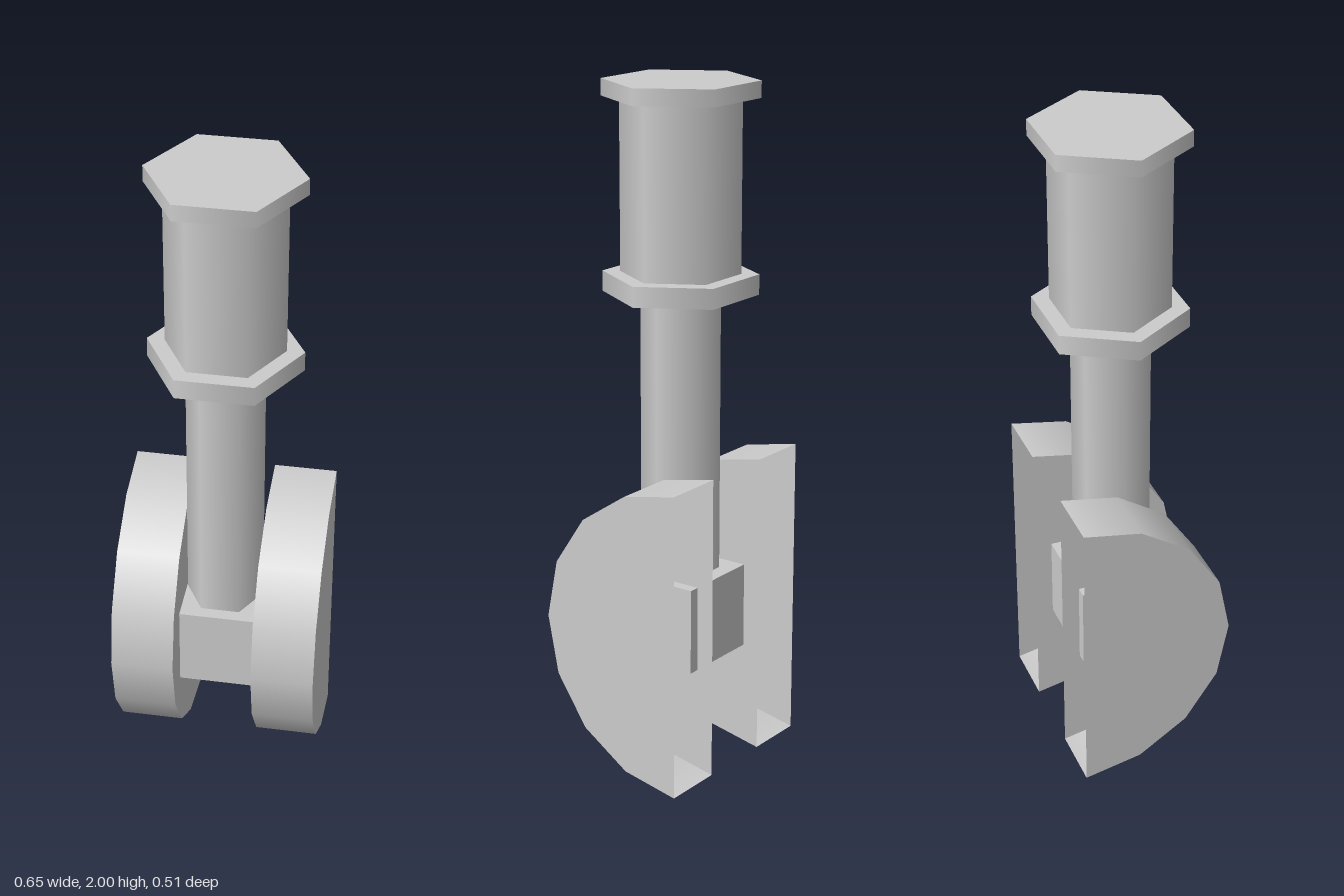
import * as THREE from 'three';

const material = new THREE.MeshStandardMaterial({ color: 0xcccccc });
const openMaterial = new THREE.MeshStandardMaterial({ color: 0xcccccc, side: THREE.DoubleSide });

// Upright six-sided post with a corner pointing along x
function hexPost(name, radius, bottom, top) {
  const geometry = new THREE.CylinderGeometry(radius, radius, top - bottom, 6, 1, false, Math.PI / 2);
  const mesh = new THREE.Mesh(geometry, material);
  mesh.name = name;
  mesh.position.y = (bottom + top) / 2;
  return mesh;
}

// Half-round wheel cover, open at the flat back
function wheelCover(name, side) {
  const radius = 0.455, width = 0.186;
  const geometry = new THREE.CylinderGeometry(radius, radius, width, 8, 1, false, -Math.PI / 2, Math.PI);
  geometry.rotateZ(Math.PI / 2);
  const mesh = new THREE.Mesh(geometry, openMaterial);
  mesh.name = name;
  mesh.position.set(side * 0.21, radius, -0.2);
  return mesh;
}

export function createModel() {
  const leg = new THREE.Group();
  leg.name = 'landingLeg';

  // Strut: piston, cylinder and its two flanges
  leg.add(
    hexPost('piston', 0.115, 0.45, 1.42),
    hexPost('lowerFlange', 0.223, 1.398, 1.457),
    hexPost('strutCylinder', 0.172, 1.43, 1.97),
    hexPost('upperFlange', 0.223, 1.952, 2)
  );

  // Axle block, its ends poking into the covers
  const axle = new THREE.Mesh(new THREE.BoxGeometry(0.3, 0.255, 0.285), material);
  axle.name = 'axleBlock';
  axle.position.set(0, 0.447, -0.005);
  leg.add(axle);

  leg.add(wheelCover('leftWheelCover', 1), wheelCover('rightWheelCover', -1));

  // The whole leg is turned slightly about the vertical
  leg.rotation.y = 0.099;
  leg.position.set(-0.003, 0, -0.028);

  const model = new THREE.Group();
  model.name = 'model';
  model.add(leg);
  return model;
}
